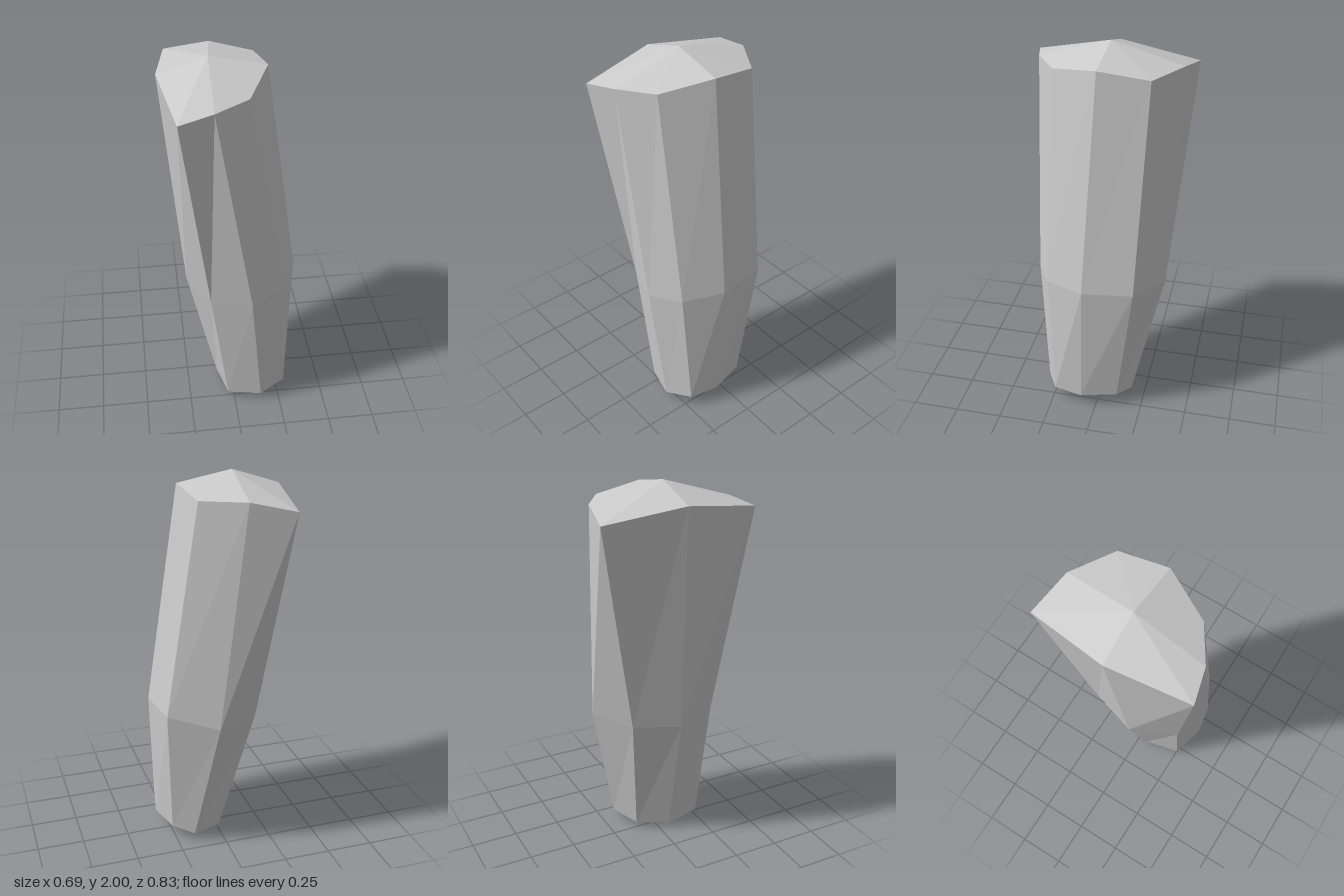
import * as THREE from 'three';

export function createModel() {
  // Eight-sided cross-sections [x, y, z], all wound the same way round
  const top = [
    [-0.35, 1.92, 0], [-0.28, 1.865, 0.415], [-0.11, 1.89, 0.37], [0.065, 1.895, 0.255],
    [0.185, 1.945, 0.01], [0.15, 1.905, -0.245], [-0.06, 1.91, -0.375], [-0.29, 1.86, -0.42],
  ];
  const waist = [
    [-0.24, 0.72, 0.04], [-0.13, 0.74, 0.285], [0.08, 0.755, 0.355], [0.25, 0.775, 0.265],
    [0.345, 0.79, 0.06], [0.31, 0.79, -0.205], [0.065, 0.74, -0.335], [-0.17, 0.74, -0.21],
  ];
  const foot = [
    [-0.08, 0.02, 0.057], [-0.035, 0.03, 0.255], [0.145, 0.045, 0.305], [0.285, 0.075, 0.235],
    [0.315, 0.07, 0.08], [0.27, 0.075, -0.115], [0.16, 0.045, -0.18], [0, 0.03, -0.11],
  ];
  const peak = [-0.1, 2, 0];
  const tip = [0.135, 0, 0.08];

  const positions = [];
  const tri = (a, b, c) => positions.push(...a, ...b, ...c);

  // Caps fan out from the peak and the tip; sides join neighbouring sections
  for (let i = 0; i < 8; i++) {
    const j = (i + 1) % 8;
    tri(peak, top[i], top[j]);
    for (const [upper, lower] of [[top, waist], [waist, foot]]) {
      tri(upper[i], lower[i], upper[j]);
      tri(upper[j], lower[i], lower[j]);
    }
    tri(tip, foot[j], foot[i]);
  }

  const geometry = new THREE.BufferGeometry();
  geometry.setAttribute('position', new THREE.Float32BufferAttribute(positions, 3));
  geometry.computeVertexNormals();

  const stone = new THREE.Mesh(
    geometry,
    new THREE.MeshStandardMaterial({ color: 0xcccccc, flatShading: true })
  );
  stone.name = 'stonePillar';

  const group = new THREE.Group();
  group.name = 'rock';
  group.add(stone);
  return group;
}
